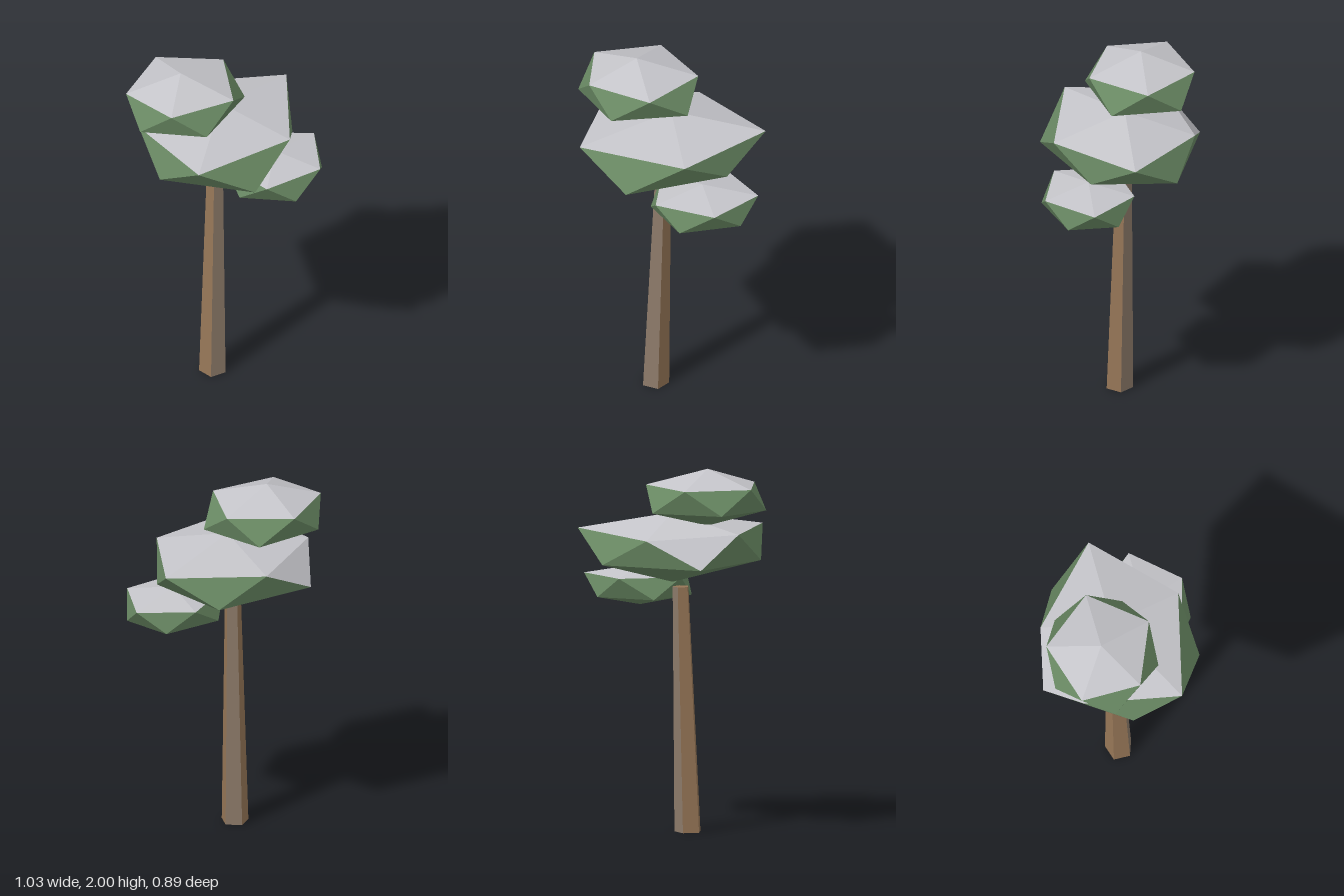
import * as THREE from 'three';

const named = (name, color) => {
  const m = new THREE.MeshStandardMaterial({ color });
  m.name = name;
  return m;
};

// Faceted 20-sided clump: two poles, two five-point rings given as [x, y, z].
// The cap faces, plus any listed upper side faces, take the pale material.
function clump(name, top, upper, lower, bottom, paleSides, materials) {
  const pale = [], green = [];
  for (let i = 0; i < 5; i++) {
    const n = (i + 1) % 5, p = (i + 4) % 5;
    pale.push(top, upper[n], upper[i]);
    (paleSides.includes(i) ? pale : green).push(upper[i], upper[n], lower[i]);
    green.push(lower[i], lower[p], upper[i]);
    green.push(bottom, lower[i], lower[n]);
  }
  const geo = new THREE.BufferGeometry();
  geo.setAttribute('position', new THREE.Float32BufferAttribute([...pale, ...green].flat(), 3));
  geo.addGroup(0, pale.length, 0);
  geo.addGroup(pale.length, green.length, 1);
  geo.computeVertexNormals();
  const mesh = new THREE.Mesh(geo, materials);
  mesh.name = name;
  return mesh;
}

// Puts [x, z] pairs at one height
const ring = (y, pts) => pts.map(([x, z]) => [x, y, z]);

export function createModel() {
  const group = new THREE.Group();
  group.name = 'tree';
  const bark = named('bark', 0x967657);
  const greyBark = named('greyBark', 0x8c7a69);
  const leaf = named('leafGreen', 0x6a8a64);
  const pale = named('paleTop', 0xc4c4c9);
  const foliage = [pale, leaf];

  // Leaning, tapered five-sided trunk; two of its sides are greyer
  const H = 1.34;
  let trunkGeo = new THREE.CylinderGeometry(0.046, 0.076, H, 5, 1, false, Math.PI / 2);
  trunkGeo.translate(0, H / 2, 0);
  const pos = trunkGeo.attributes.position;
  for (let i = 0; i < pos.count; i++) {
    const t = pos.getY(i) / H;
    pos.setX(i, pos.getX(i) - 0.084 + 0.038 * t);
    pos.setZ(i, pos.getZ(i) - 0.018 * t);
  }
  trunkGeo = trunkGeo.toNonIndexed();
  trunkGeo.clearGroups();
  [1, 0, 0, 1, 0].forEach((m, i) => trunkGeo.addGroup(i * 6, 6, m));
  trunkGeo.addGroup(30, 30, 0);
  trunkGeo.computeVertexNormals();
  const trunk = new THREE.Mesh(trunkGeo, [bark, greyBark]);
  trunk.name = 'trunk';
  group.add(trunk);

  // Small low clump
  group.add(clump('lowerFoliage', [0.195, 1.43, 0.2],
    ring(1.38, [[0.5, 0.2], [0.29, 0.445], [-0.04, 0.36], [-0.04, 0.04], [0.29, -0.04]]),
    ring(1.265, [[0.42, 0.335], [0.1, 0.445], [-0.085, 0.2], [0.1, -0.04], [0.415, 0.06]]),
    [0.195, 1.21, 0.2], [], foliage));

  // Wide middle clump, with one shallow back face that is pale too
  group.add(clump('middleFoliage', [0, 1.745, -0.02],
    [[0.515, 1.655, -0.02], [0.12, 1.64, 0.38], [-0.465, 1.655, 0.255], [-0.38, 1.66, -0.27], [0.11, 1.635, -0.39]],
    [[0.33, 1.49, 0.2], [-0.195, 1.475, 0.42], [-0.48, 1.49, -0.02], [-0.19, 1.485, -0.45], [0.36, 1.485, -0.265]],
    [0, 1.365, -0.02], [3], foliage));

  // Top clump
  group.add(clump('upperFoliage', [-0.2, 2, -0.13],
    ring(1.91, [[0.135, -0.13], [-0.095, 0.163], [-0.44, 0.028], [-0.45, -0.3], [-0.1, -0.41]]),
    ring(1.777, [[0.1, 0.063], [-0.305, 0.163], [-0.518, -0.13], [-0.3, -0.41], [0.083, -0.317]]),
    [-0.2, 1.69, -0.13], [], foliage));

  return group;
}
